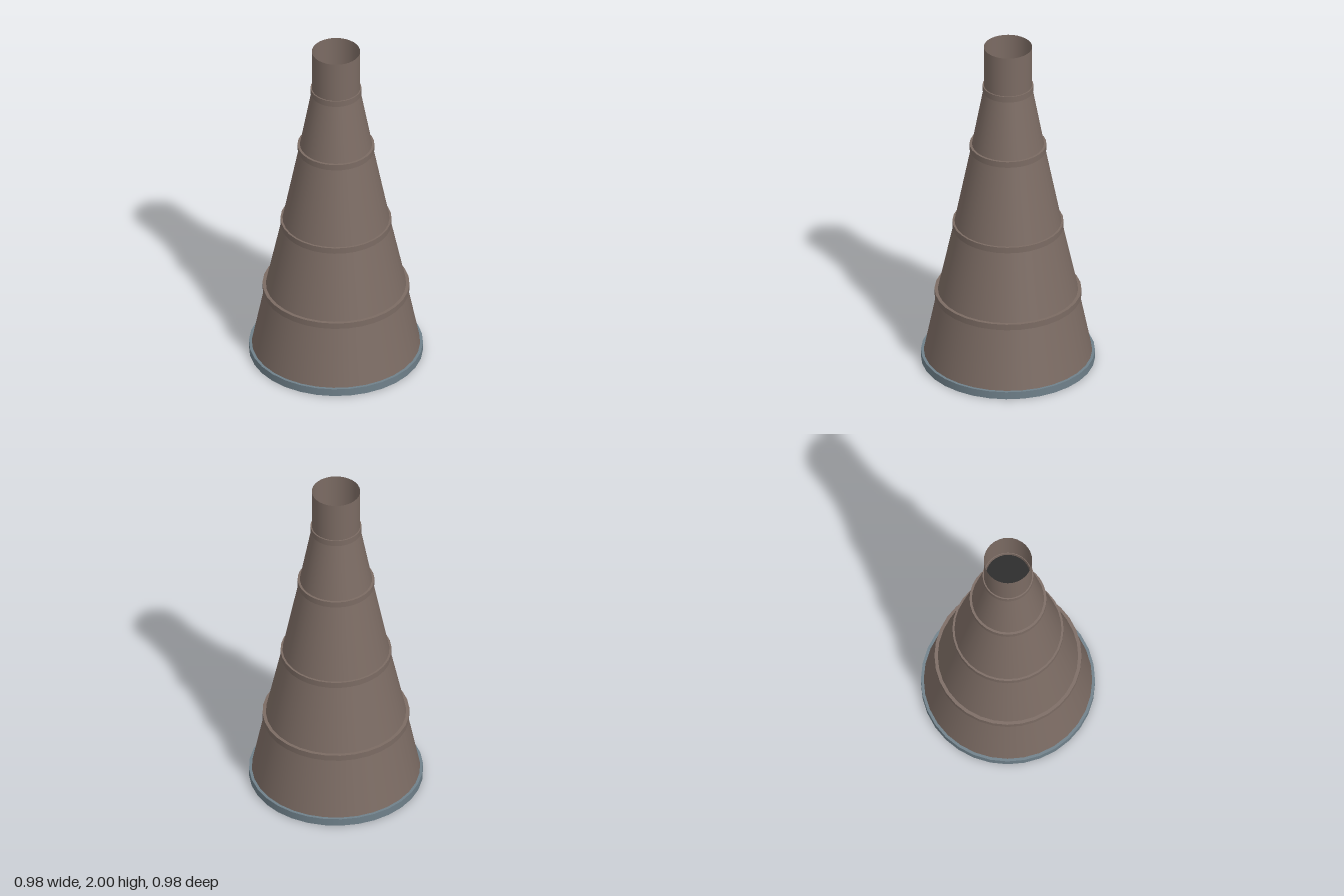
import * as THREE from 'three';

const SIDES = 32;

export function createModel() {
  const model = new THREE.Group();
  const metal = new THREE.MeshStandardMaterial({ color: 0x7b6b63, side: THREE.DoubleSide });
  metal.name = 'brown metal';
  const steel = new THREE.MeshStandardMaterial({ color: 0x6f808a });
  steel.name = 'blue grey steel';
  const soot = new THREE.MeshStandardMaterial({ color: 0x222222, side: THREE.DoubleSide });
  soot.name = 'dark soot';

  const add = (name, geometry, material, y = 0) => {
    const mesh = new THREE.Mesh(geometry, material);
    mesh.name = name;
    mesh.position.y = y;
    model.add(mesh);
    return mesh;
  };

  // Hoop of rectangular section; each face is its own lathe so edges stay crisp
  const hoop = (name, inner, outer, y0, y1, material) => {
    const group = new THREE.Group();
    group.name = name;
    const corners = [[inner, y0], [outer, y0], [outer, y1], [inner, y1], [inner, y0]];
    for (let i = 0; i < 4; i++) {
      const points = [corners[i], corners[i + 1]].map(([r, y]) => new THREE.Vector2(r, y));
      const face = new THREE.Mesh(new THREE.LatheGeometry(points, SIDES), material);
      face.name = name + 'Face';
      group.add(face);
    }
    model.add(group);
  };

  // Open tapering shell sections: [radius, height], ending in a straight neck
  const profile = [[0.48, 0.01], [0.398, 0.42], [0.304, 0.86], [0.206, 1.358], [0.136, 1.738], [0.136, 2]];
  for (let i = 0; i < profile.length - 1; i++) {
    const [r0, y0] = profile[i];
    const [r1, y1] = profile[i + 1];
    const shell = new THREE.CylinderGeometry(r1, r0, y1 - y0, SIDES, 1, true);
    add(i === 4 ? 'neck' : 'coneSection', shell, metal, (y0 + y1) / 2);
  }

  // Raised bands over the joints
  for (let i = 1; i < 5; i++) {
    const [r, y] = profile[i];
    hoop('jointBand', r - 0.004, [0.413, 0.312, 0.216, 0.143][i - 1], y - 0.018, y + 0.018, metal);
  }

  // Base rim
  hoop('baseRim', 0.464, 0.489, 0, 0.045, steel);

  // Dark disc down inside the neck
  add('innerDisc', new THREE.CircleGeometry(0.125, SIDES).rotateX(-Math.PI / 2), soot, 1.75);

  return model;
}
